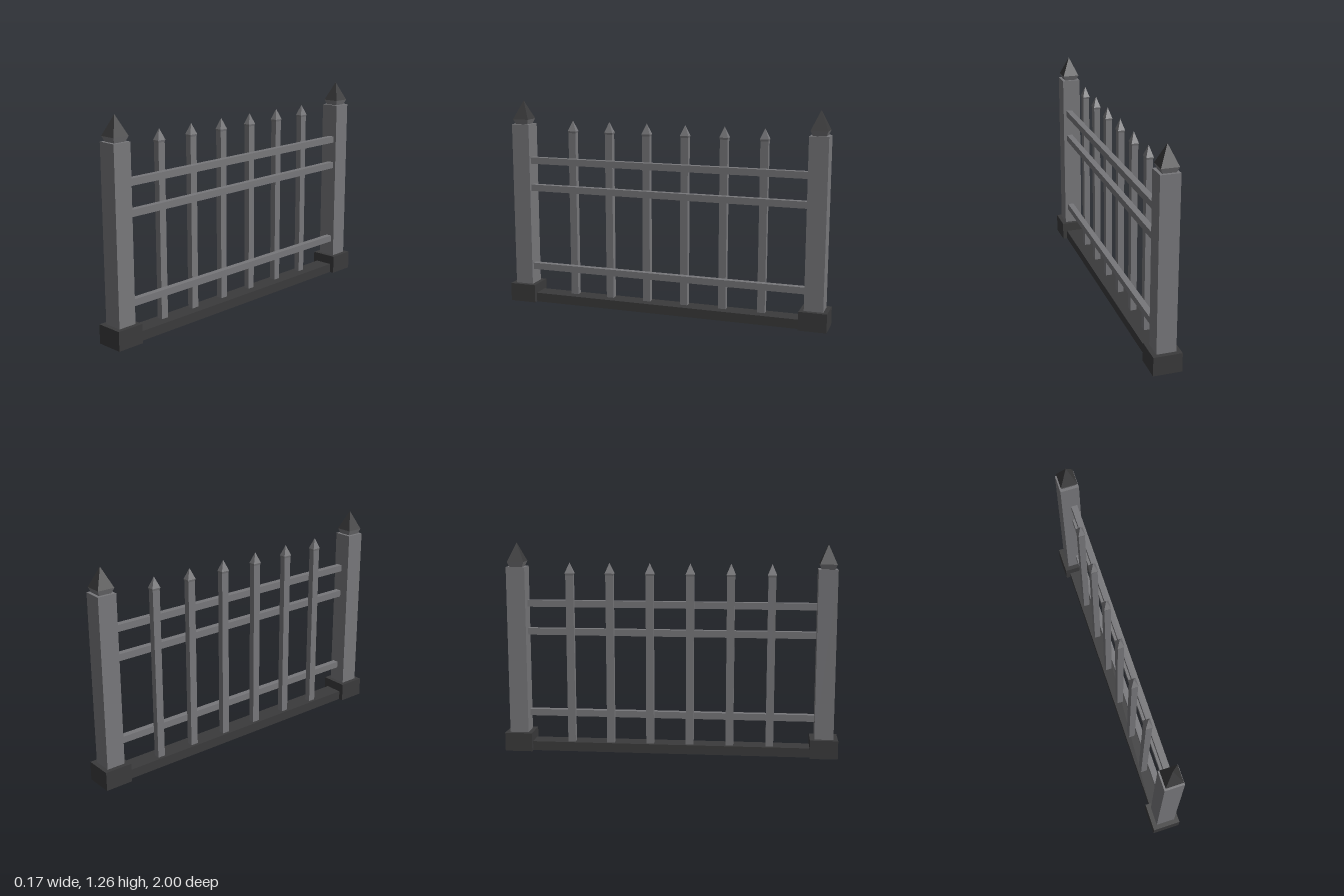
import * as THREE from 'three';

const iron = new THREE.MeshStandardMaterial({ color: 0x77777a });
iron.name = 'grey iron';
const stone = new THREE.MeshStandardMaterial({ color: 0x3a3a3b });
stone.name = 'dark stone';

// Box placed by its bottom height
function box(name, w, h, d, x, y, z, material) {
  const mesh = new THREE.Mesh(new THREE.BoxGeometry(w, h, d), material);
  mesh.name = name;
  mesh.position.set(x, y + h / 2, z);
  return mesh;
}

// Square frustum with flat sides, given bottom and top widths; depth stretches z
function frustum(name, bottom, top, h, x, y, z, material, depth = 1) {
  const k = Math.SQRT1_2;
  const geo = new THREE.CylinderGeometry(top * k, bottom * k, h, 4).rotateY(Math.PI / 4);
  geo.scale(1, 1, depth);
  const flat = geo.toNonIndexed();
  flat.computeVertexNormals();
  const mesh = new THREE.Mesh(flat, material);
  mesh.name = name;
  mesh.position.set(x, y + h / 2, z);
  return mesh;
}

// End post: plinth, shaft, flared neck and pointed cap
function createPost(z) {
  const post = new THREE.Group();
  post.name = 'endPost';
  post.add(
    box('postBase', 0.165, 0.112, 0.165, 0, 0, 0, stone),
    box('postShaft', 0.112, 1.005, 0.112, 0, 0.112, 0, iron),
    frustum('postNeck', 0.076, 0.1, 0.03, 0, 1.117, 0, iron),
    frustum('postCap', 0.1, 0, 0.113, 0, 1.147, 0, stone)
  );
  post.position.z = z;
  return post;
}

// Picket: thin bar with a spear tip
function createPicket(z) {
  const picket = new THREE.Group();
  picket.name = 'picket';
  picket.add(
    box('picketBar', 0.037, 1.02, 0.046, 0, 0.055, 0, iron),
    frustum('picketTipFlare', 0.037, 0.042, 0.012, 0, 1.07, 0, iron, 1.25),
    frustum('picketTip', 0.042, 0, 0.063, 0, 1.082, 0, iron, 1.25)
  );
  picket.position.set(-0.0185, 0, z);
  return picket;
}

export function createModel() {
  const fence = new THREE.Group();
  fence.name = 'fence';

  // Curb running between the post bases
  fence.add(box('curb', 0.11, 0.056, 1.69, 0, 0, 0, stone));

  for (const side of [-1, 1]) fence.add(createPost(side * 0.9175));

  // Horizontal rails on the left face of the pickets
  for (const y of [0.205, 0.705, 0.875]) {
    fence.add(box('rail', 0.037, 0.04, 1.73, 0.0185, y, 0, iron));
  }

  // Six evenly spaced pickets
  for (let i = 0; i < 6; i++) fence.add(createPicket((i - 2.5) * 0.239));

  return fence;
}
